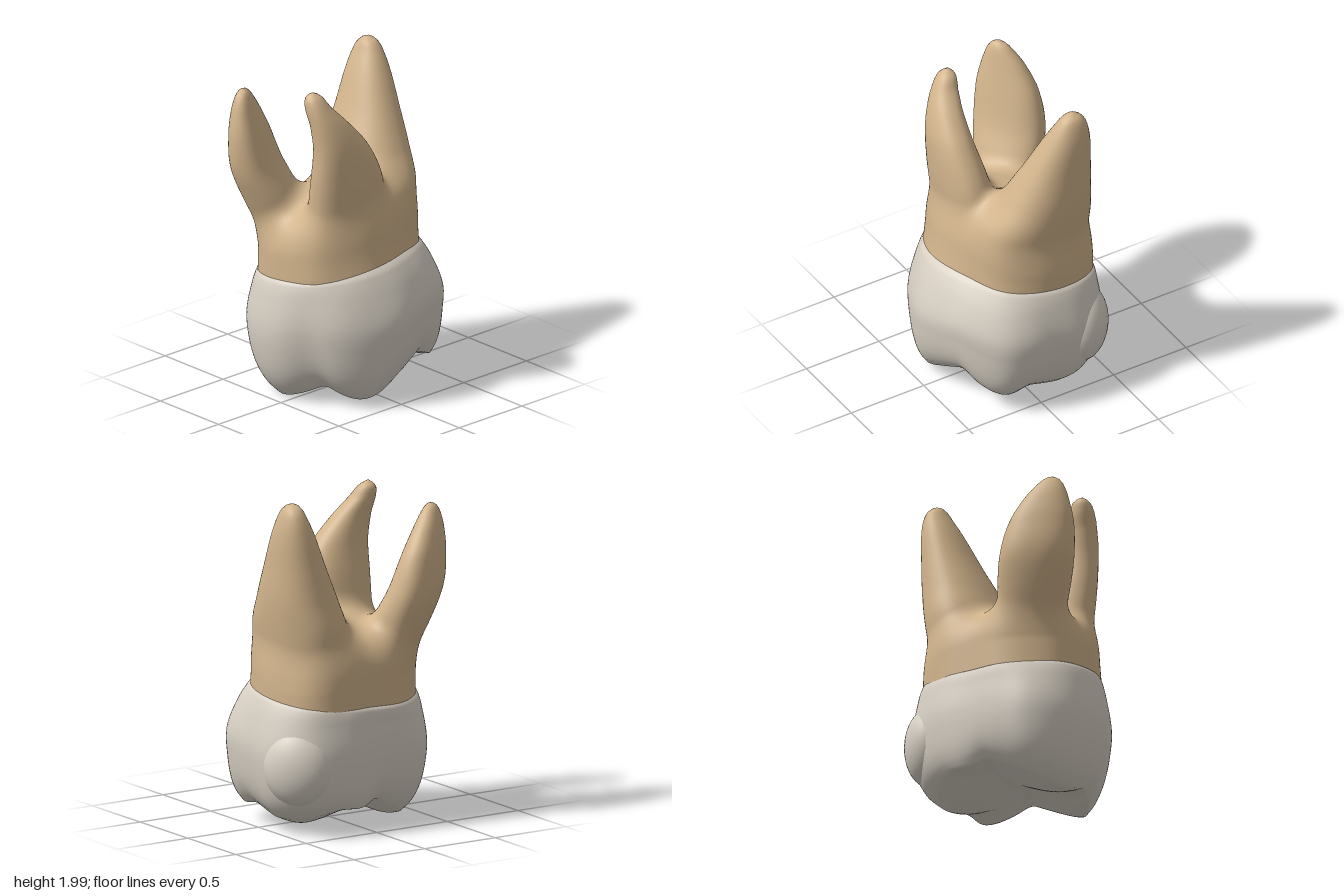
import * as THREE from 'three';

const enamel = new THREE.MeshStandardMaterial({ color: 0xd8d0c4 });
enamel.name = 'enamel';
const dentine = new THREE.MeshStandardMaterial({ color: 0xd2b48c });
dentine.name = 'rootDentine';

// Radii about the y axis every 22.5 degrees, from +x towards +z
const CROWN = [0.52, 0.515, 0.53, 0.54, 0.57, 0.585, 0.565, 0.505, 0.49, 0.555, 0.635, 0.65, 0.605, 0.615, 0.56, 0.52];
const NECK = [0.39, 0.41, 0.435, 0.47, 0.495, 0.51, 0.485, 0.47, 0.455, 0.5, 0.57, 0.545, 0.505, 0.465, 0.405, 0.385];

// Roots as horizontal ovals: y, centre x, centre z, radius along the oval, radius across it
const ROOTS = [
  { // front right root, a blade turned towards the corner
    turn: 1.03,
    slices: [
      [0.9, -0.21, 0.22, 0.17, 0.14], [1.2, -0.28, 0.32, 0.21, 0.16], [1.4, -0.333, 0.39, 0.222, 0.14],
      [1.6, -0.347, 0.435, 0.195, 0.108], [1.75, -0.343, 0.47, 0.135, 0.075], [1.84, -0.332, 0.492, 0.08, 0.048],
      [1.88, -0.327, 0.498, 0.042, 0.027], [1.893, -0.325, 0.5, 0.01, 0.008],
    ],
  },
  { // front left root, curling forward at the tip
    turn: 0,
    slices: [
      [0.9, 0.13, 0.12, 0.15, 0.26], [1.2, 0.155, 0.12, 0.15, 0.265], [1.4, 0.18, 0.15, 0.137, 0.24],
      [1.6, 0.197, 0.21, 0.114, 0.18], [1.75, 0.18, 0.28, 0.09, 0.122], [1.86, 0.145, 0.335, 0.071, 0.078],
      [1.93, 0.122, 0.352, 0.047, 0.05], [1.957, 0.118, 0.355, 0.01, 0.01],
    ],
  },
  { // back root
    turn: 0,
    slices: [
      [0.9, -0.1, -0.23, 0.32, 0.23], [1.2, -0.105, -0.275, 0.335, 0.235], [1.4, -0.148, -0.325, 0.268, 0.205],
      [1.6, -0.19, -0.37, 0.205, 0.158], [1.8, -0.23, -0.41, 0.143, 0.112], [1.92, -0.25, -0.43, 0.094, 0.071],
      [1.975, -0.253, -0.432, 0.052, 0.042], [1.992, -0.255, -0.433, 0.01, 0.01],
    ],
  },
];

// Chewing cusps: x, tip height, z
const CUSPS = [[-0.1, 0, 0.36], [0.37, 0.045, 0.2], [-0.15, 0.035, -0.3], [0.18, 0.115, -0.48], [-0.4, 0.14, -0.1]];

// Crown side: t from neck to rim, blend from neck to full outline, scale
const SIDE = [[0, 0, 0.95], [0.028, 0.06, 1], [0.2, 0.6, 1], [0.42, 1, 1], [0.62, 1, 0.99], [0.8, 1, 0.945], [0.92, 1, 0.87], [1, 1, 0.77]];

// Directions where the crown stays full down to the rim: angle, width, amount
const FULL = [[0.35, 0.3, 0.25], [3.35, 0.45, 0.5], [5.4, 0.4, 0.45]];
// Grooves down the crown side: angle, width, depth
const GROOVES = [[1.2, 0.22, 0.065], [4.55, 0.17, 0.04], [5.0, 0.15, 0.02]];

const smoothMin = (a, b, k) => {
  const h = Math.max(k - Math.abs(a - b), 0) / k;
  return Math.min(a, b) - h * h * k * 0.25;
};
const hermite = (a, b, ma, mb, t) =>
  a + t * (ma + t * (3 * (b - a) - 2 * ma - mb + t * (2 * (a - b) + ma + mb)));

// Smooth lookup of a closed ring of radii
function ringRadius(ring, angle) {
  const n = ring.length;
  const f = (((angle / (2 * Math.PI)) % 1) + 1) % 1 * n;
  const i = Math.floor(f);
  const at = (k) => ring[(i + k + n) % n];
  return hermite(at(0), at(1), (at(1) - at(-1)) / 2, (at(2) - at(0)) / 2, f - i);
}

// Smooth lookup of a table whose first column is the key
function lookup(table, key) {
  const last = table.length - 1;
  const x = Math.min(Math.max(key, table[0][0]), table[last][0]);
  let i = 0;
  while (i < last - 1 && x > table[i + 1][0]) i++;
  const a = table[i], b = table[i + 1], w = b[0] - a[0];
  const p = table[Math.max(i - 1, 0)], q = table[Math.min(i + 2, last)];
  return a.slice(1).map((v, c) => hermite(v, b[c + 1],
    w * (b[c + 1] - p[c + 1]) / (b[0] - p[0]), w * (q[c + 1] - v) / (q[0] - a[0]), (x - a[0]) / w));
}

// Field of the domed trunk blended with its three roots, negative inside
function rootField(x, y, z, sections) {
  const a = Math.atan2(z, x), r = Math.hypot(x, z);
  const taper = 1 - 0.5 * Math.max(0, y - 0.8) * Math.max(0, Math.cos(a));
  const wall = r - ringRadius(NECK, a) * taper;
  const dome = (y - 1.25 + 0.8 * r * r) / Math.hypot(1, 1.6 * r);
  let d = -smoothMin(-wall, -dome, 0.12);
  sections.forEach(([cx, cz, along, across], i) => {
    const { turn, slices } = ROOTS[i];
    const c = Math.cos(turn), s = Math.sin(turn), dx = x - cx, dz = z - cz;
    const ra = Math.max(0.008, along), rb = Math.max(0.008, across);
    const u = Math.abs(dx * c + dz * s) / ra, v = Math.abs(dz * c - dx * s) / rb;
    const q = (u ** 2.25 + v ** 2.25) ** (1 / 2.25);
    const above = Math.max(0, y - slices[slices.length - 1][0]);
    d = smoothMin(d, (q - 1) * Math.min(ra, rb) + above, 0.1);
  });
  return d;
}

// Smooth skin over the field, one vertex per crossed grid cell
function createRootGeometry() {
  const h = 0.02, min = [-0.62, 0.62, -0.66], size = [56, 72, 68];
  const step = [1, size[0], size[0] * size[1]];
  const sectionsAt = (y) => ROOTS.map((root) => lookup(root.slices, y));
  const value = new Float32Array(size[0] * size[1] * size[2]);
  for (let j = 0; j < size[1]; j++) {
    const y = min[1] + j * h, sections = sectionsAt(y);
    for (let k = 0; k < size[2]; k++)
      for (let i = 0; i < size[0]; i++)
        value[i + j * step[1] + k * step[2]] = rootField(min[0] + i * h, y, min[2] + k * h, sections);
  }
  const field = (x, y, z) => rootField(x, y, z, sectionsAt(y));
  const positions = [], normals = [], index = [], cell = new Int32Array(value.length).fill(-1);
  const eachCell = (visit) => {
    for (let k = 0; k < size[2] - 1; k++)
      for (let j = 0; j < size[1] - 1; j++)
        for (let i = 0; i < size[0] - 1; i++) visit([i, j, k], i + j * step[1] + k * step[2]);
  };
  eachCell((c, id) => {
    const sum = [0, 0, 0];
    let count = 0;
    for (let corner = 0; corner < 8; corner++) {
      const bits = [corner & 1, (corner >> 1) & 1, corner >> 2];
      const from = id + bits[0] * step[0] + bits[1] * step[1] + bits[2] * step[2];
      for (let ax = 0; ax < 3; ax++) {
        if (bits[ax]) continue;
        const a = value[from], b = value[from + step[ax]];
        if ((a < 0) === (b < 0)) continue;
        for (let m = 0; m < 3; m++) sum[m] += bits[m] + (m === ax ? a / (a - b) : 0);
        count++;
      }
    }
    if (!count) return;
    cell[id] = positions.length / 3;
    const [x, y, z] = sum.map((s, m) => min[m] + (c[m] + s / count) * h);
    const e = 0.015;
    const n = new THREE.Vector3(field(x + e, y, z) - field(x - e, y, z),
      field(x, y + e, z) - field(x, y - e, z), field(x, y, z + e) - field(x, y, z - e)).normalize();
    positions.push(x, y, z);
    normals.push(n.x, n.y, n.z);
  });
  eachCell((c, id) => {
    for (let ax = 0; ax < 3; ax++) {
      const u = (ax + 1) % 3, v = (ax + 2) % 3;
      const inside = value[id] < 0;
      if (!c[u] || !c[v] || inside === (value[id + step[ax]] < 0)) continue;
      const q = [id - step[u] - step[v], id - step[v], id, id - step[u]].map((n) => cell[n]);
      if (!inside) q.reverse();
      index.push(q[0], q[1], q[2], q[0], q[2], q[3]);
    }
  });
  return makeGeometry(positions, index, normals);
}

function makeGeometry(positions, index, normals) {
  const g = new THREE.BufferGeometry();
  g.setAttribute('position', new THREE.Float32BufferAttribute(positions, 3));
  g.setIndex(index);
  if (normals) g.setAttribute('normal', new THREE.Float32BufferAttribute(normals, 3));
  else g.computeVertexNormals();
  return g;
}

// Chewing surface: rounded cones meeting in grooves
const chewingHeight = (x, z) => CUSPS.reduce((y, [cx, cy, cz]) =>
  smoothMin(y, cy + 0.55 * (Math.hypot(x - cx, z - cz, 0.1) - 0.1), 0.035), 0.26);

// Crown: rings down the side, then inwards over the chewing surface
function createCrownGeometry() {
  const around = 112, side = 36, cap = 28, positions = [], index = [];
  const sumAt = (list, a) => list.reduce((sum, [centre, width, amount]) =>
    sum + amount * Math.exp(-(((a - centre) / width) ** 2)), 0);
  const point = (a, t, shrink) => {
    const [blend, scale] = lookup(SIDE, t);
    const full = t > 0.5 ? THREE.MathUtils.lerp(scale, 1, sumAt(FULL, a)) : scale;
    const outline = ringRadius(CROWN, a) * (1 - t * sumAt(GROOVES, a));
    const r = THREE.MathUtils.lerp(ringRadius(NECK, a) * 1.018, outline, blend) * full * shrink;
    const z = r * Math.sin(a);
    return [r * Math.cos(a), z > 0 ? z * (1 - 0.08 * t * t) : z];
  };
  for (let j = 0; j <= side + cap; j++) {
    const t = Math.min(j / side, 1), shrink = 1 - Math.max(0, j - side) / cap;
    for (let i = 0; i < around; i++) {
      const a = (i / around) * Math.PI * 2;
      const neckY = 0.81 + 0.052 * Math.cos(a) - 0.026 * Math.sin(a);
      const [x, z] = point(a, t, shrink);
      const bottom = chewingHeight(...point(a, 1, shrink));
      positions.push(x, THREE.MathUtils.lerp(neckY, bottom, t), z);
      if (j === side + cap) continue;
      const p = j * around + i, q = j * around + ((i + 1) % around);
      index.push(p, q, p + around, q, q + around, p + around);
    }
  }
  return makeGeometry(positions, index);
}

export function createModel() {
  const tooth = new THREE.Group();
  tooth.name = 'molar';
  const add = (name, geometry, material) => {
    const mesh = new THREE.Mesh(geometry, material);
    mesh.name = name;
    tooth.add(mesh);
    return mesh;
  };
  add('roots', createRootGeometry(), dentine);
  add('crown', createCrownGeometry(), enamel);

  // Broad extra cusp on the back right corner
  const bump = add('accessoryCusp', new THREE.SphereGeometry(1, 40, 28), enamel);
  bump.scale.set(0.21, 0.24, 0.15);
  bump.rotation.y = Math.PI / 4;
  bump.position.set(-0.325, 0.42, -0.435);
  return tooth;
}
